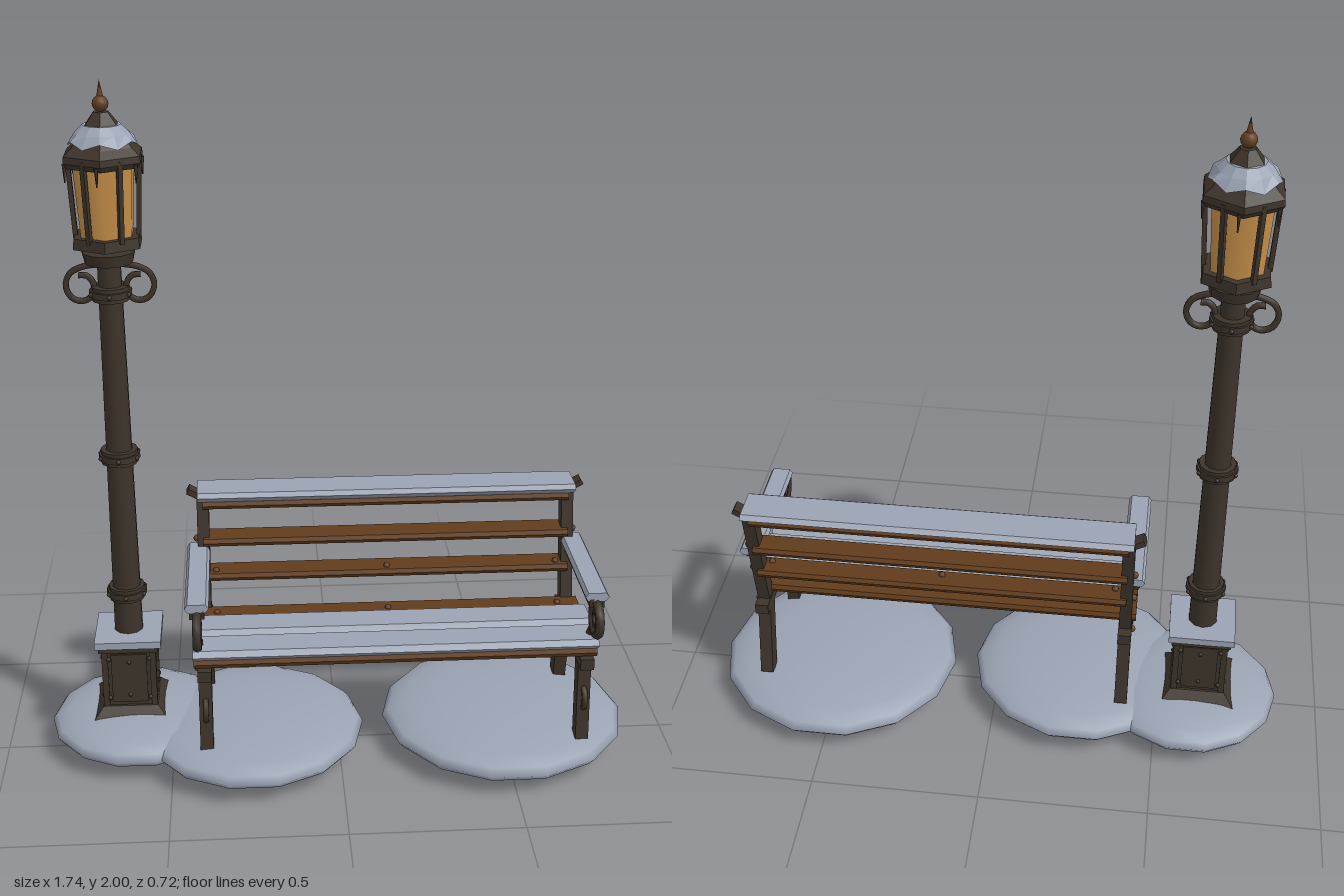
import * as THREE from 'three';

const mat = (name, color, extra = {}) => Object.assign(new THREE.MeshStandardMaterial({ color, ...extra }), { name });

export function createModel() {
  const iron = mat('dark iron', 0x3d342b);
  const wood = mat('bench wood', 0x613c1b);
  const snow = mat('snow', 0x9ba3b3);
  const glass = mat('amber glass', 0xc8914a);
  const copper = mat('aged copper', 0x633f22);
  const model = new THREE.Group();

  const add = (parent, name, geo, material, x = 0, y = 0, z = 0) => {
    const m = new THREE.Mesh(geo, material);
    m.name = name;
    m.position.set(x, y, z);
    parent.add(m);
    return m;
  };
  const group = (name, x = 0, y = 0, z = 0) => {
    const g = new THREE.Group();
    g.name = name;
    g.position.set(x, y, z);
    model.add(g);
    return g;
  };
  const box = (w, h, d) => new THREE.BoxGeometry(w, h, d);
  const cyl = (top, bottom, h, n = 12) => new THREE.CylinderGeometry(top, bottom, h, n);
  const flat = (geo) => {
    const g = geo.toNonIndexed();
    g.computeVertexNormals();
    return g;
  };
  // Box running between two points [y, z] in a side plane
  const beam = (parent, name, material, x, a, b, w, d) => {
    const dy = b[0] - a[0], dz = b[1] - a[1];
    const m = add(parent, name, box(w, Math.hypot(dy, dz), d), material, x, (a[0] + b[0]) / 2, (a[1] + b[1]) / 2);
    m.rotation.x = Math.atan2(dz, dy);
    return m;
  };
  // Bar with bevelled long edges, lying along x
  const bar = (len, h, d, bevel) => {
    const s = new THREE.Shape();
    const a = d / 2, b = h / 2;
    s.moveTo(-a + bevel, -b).lineTo(a - bevel, -b).lineTo(a, 0).lineTo(a - bevel, b).lineTo(-a + bevel, b).lineTo(-a, 0);
    return new THREE.ExtrudeGeometry(s, { depth: len, bevelEnabled: false }).translate(0, 0, -len / 2).rotateY(Math.PI / 2);
  };

  // Snow mounds
  for (const [x, z, r, ry] of [[-0.6, -0.042, 0.267, 0.062], [-0.26, 0.029, 0.333, 0.063], [0.503, -0.007, 0.367, 0.066]]) {
    const m = add(model, 'snowMound', new THREE.SphereGeometry(1, 14, 10), snow, x, ry === 0.066 ? 0.066 : 0.073, z);
    m.scale.set(r, ry, r);
  }

  // Lamp pedestal
  const lamp = group('streetLamp', -0.624, 0, -0.05);
  const foot = add(lamp, 'pedestalFoot', flat(cyl(0.115, 0.156, 0.035, 4)), iron, 0, 0.135, 0);
  foot.rotation.y = Math.PI / 4;
  add(lamp, 'pedestal', box(0.148, 0.23, 0.148), iron, 0, 0.24, 0);
  add(lamp, 'pedestalCap', box(0.175, 0.02, 0.175), iron, 0, 0.345, 0);
  add(lamp, 'pedestalSnow', box(0.195, 0.022, 0.195), snow, 0, 0.364, 0);
  for (let i = 0; i < 4; i++) {
    const face = new THREE.Group();
    face.name = 'pedestalFace';
    face.rotation.y = i * Math.PI / 2;
    lamp.add(face);
    add(face, 'pedestalPanel', box(0.105, 0.16, 0.008), iron, 0, 0.245, 0.076);
    add(face, 'cornerTrim', box(0.018, 0.2, 0.018), iron, 0.071, 0.24, 0.071);
    for (const [x, y] of [[-0.06, 0.18], [0.06, 0.18], [-0.06, 0.31], [0.06, 0.31], [0, 0.3], [0, 0.19]])
      add(face, 'rivet', new THREE.SphereGeometry(0.007, 6, 4), iron, x, y, 0.079);
  }

  // Post with collars
  add(lamp, 'post', cyl(0.033, 0.043, 1.16, 10), iron, 0, 0.95, 0);
  for (const y of [0.5, 0.935, 1.42]) {
    add(lamp, 'collar', cyl(0.053, 0.053, 0.04), iron, 0, y, 0);
    add(lamp, 'collarBand', cyl(0.059, 0.059, 0.018), iron, 0, y, 0);
    for (let i = 0; i < 6; i++) {
      const a = i * Math.PI / 3;
      add(lamp, 'collarRivet', new THREE.SphereGeometry(0.007, 6, 4), iron, Math.sin(a) * 0.059, y, Math.cos(a) * 0.059);
    }
  }
  add(lamp, 'topCollar', cyl(0.073, 0.066, 0.032, 12), iron, 0, 1.522, 0);
  for (const s of [-1, 1]) {
    const curve = new THREE.CatmullRomCurve3([[0.035, 1.5], [0.075, 1.493], [0.108, 1.475], [0.121, 1.44], [0.105, 1.405], [0.075, 1.396], [0.05, 1.412], [0.045, 1.445], [0.062, 1.468], [0.085, 1.47]]
      .map(([x, y]) => new THREE.Vector3(s * x, y, 0)));
    add(lamp, 'scrollBracket', new THREE.TubeGeometry(curve, 28, 0.009, 6), iron);
  }

  // Lantern
  add(lamp, 'lanternBase', flat(cyl(0.1, 0.104, 0.03, 6)), iron, 0, 1.57, 0);
  add(lamp, 'lanternGlass', cyl(0.092, 0.078, 0.21, 6), glass, 0, 1.685, 0);
  for (let i = 0; i < 6; i++) {
    const side = new THREE.Group();
    side.name = 'lanternSide';
    side.rotation.y = i * Math.PI / 3 + Math.PI / 6;
    lamp.add(side);
    beam(side, 'lanternBar', iron, 0, [1.575, 0.085], [1.8, 0.096], 0.013, 0.013);
    const drop = add(side, 'icicle', cyl(0.006, 0.002, 0.05, 5), iron, 0.045, 1.762, 0.1);
    drop.visible = true;
  }
  const roof = [[0.001, 1.775], [0.108, 1.775], [0.118, 1.79], [0.116, 1.808], [0.092, 1.828], [0.048, 1.882], [0.028, 1.905], [0.022, 1.915], [0.001, 1.917]];
  add(lamp, 'lanternRoof', flat(new THREE.LatheGeometry(roof.map(([r, y]) => new THREE.Vector2(r, y)), 6)), iron);

  // Roof snow with a scalloped lower edge
  const cap = new THREE.CylinderGeometry(0.052, 0.094, 0.05, 12, 2);
  const p = cap.attributes.position;
  for (let i = 0; i < p.count; i++) {
    const a = Math.atan2(p.getX(i), p.getZ(i));
    if (p.getY(i) < -0.02) p.setY(i, p.getY(i) + 0.008 * Math.cos(a * 6));
    if (p.getY(i) > 0.02) p.setY(i, 0.021);
  }
  add(lamp, 'roofSnow', flat(cap), snow, 0, 1.862, 0);
  add(lamp, 'roofPeak', flat(cyl(0.022, 0.054, 0.04, 6)), iron, 0, 1.896, 0);
  add(lamp, 'finialBall', new THREE.SphereGeometry(0.022, 10, 8), copper, 0, 1.937, 0);
  add(lamp, 'finialSpike', new THREE.ConeGeometry(0.011, 0.055, 8), copper, 0, 1.9725, 0);

  // Bench, centred along its length
  const bench = group('bench', 0.155);
  for (const z of [0.178, 0.06, -0.055]) add(bench, 'seatSlat', bar(1.16, 0.026, 0.1, 0.006), wood, 0, 0.396, z);
  for (const [z, y] of [[0.178, 0.423], [0.06, 0.427]]) add(bench, 'seatSnow', bar(1.165, 0.03, 0.116, 0.014), snow, 0, y, z);
  for (const [y, z] of [[0.508, -0.135], [0.612, -0.158], [0.728, -0.172]]) {
    const m = add(bench, 'backSlat', bar(1.1, 0.024, 0.08, 0.006), wood, 0, y, z);
    m.rotation.x = 0.05;
  }
  for (const x of [-0.515, 0, 0.515]) {
    add(bench, 'seatBolt', new THREE.SphereGeometry(0.01, 8, 6), copper, x, 0.41, -0.06);
    add(bench, 'backBolt', new THREE.SphereGeometry(0.01, 8, 6), copper, x, 0.521, -0.12);
  }

  // Snow along the back, flaring upwards
  const ridge = new THREE.Shape();
  ridge.moveTo(-0.035, 0.738).lineTo(0.035, 0.738).lineTo(0.065, 0.762).lineTo(0.05, 0.773).lineTo(-0.05, 0.773).lineTo(-0.065, 0.762);
  add(bench, 'backSnow', new THREE.ExtrudeGeometry(ridge, { depth: 1.13, bevelEnabled: false })
    .translate(0, 0, -0.565).rotateY(Math.PI / 2), snow, 0, 0, -0.173);

  // Cast iron ends, mirrored
  for (const s of [-1, 1]) {
    const end = new THREE.Group();
    end.name = 'benchEnd';
    bench.add(end);
    const x = s * 0.55, ax = s * 0.566;
    beam(end, 'frontLeg', iron, x, [0.105, 0.203], [0.38, 0.18], 0.038, 0.046);
    beam(end, 'rearLeg', iron, x, [0.115, -0.155], [0.38, -0.105], 0.038, 0.052);
    beam(end, 'backPost', iron, x, [0.37, -0.108], [0.75, -0.185], 0.036, 0.044);
    add(end, 'seatRail', box(0.04, 0.034, 0.405), iron, x, 0.363, 0.037);
    const tip = add(end, 'postTip', box(0.035, 0.018, 0.04), iron, s * 0.578, 0.755, -0.18);
    tip.rotation.z = s * 0.5;
    add(end, 'armrest', box(0.042, 0.026, 0.38), iron, ax, 0.563, 0.05);
    add(end, 'armSnow', bar(0.4, 0.025, 0.068, 0.008).rotateY(Math.PI / 2), snow, ax, 0.583, 0.04);

    // Scroll under the front of the arm and its strut
    const ring = add(end, 'armScroll', new THREE.TorusGeometry(0.046, 0.014, 6, 18), iron, ax, 0.515, 0.242);
    ring.rotation.y = Math.PI / 2;
    const hub = add(end, 'scrollInner', new THREE.TorusGeometry(0.022, 0.009, 6, 12), iron, ax, 0.515, 0.242);
    hub.rotation.y = Math.PI / 2;
    const strut = new THREE.CatmullRomCurve3([[0.475, 0.215], [0.45, 0.19], [0.415, 0.175], [0.37, 0.175]]
      .map(([y, z]) => new THREE.Vector3(ax, y, z)));
    add(end, 'armStrut', new THREE.TubeGeometry(strut, 10, 0.014, 6), iron);
    const curl = add(end, 'legCurl', new THREE.TorusGeometry(0.034, 0.009, 6, 14), iron, x, 0.238, 0.2);
    curl.rotation.y = Math.PI / 2;
    for (const [y, z] of [[0.363, 0.18], [0.363, -0.11], [0.508, -0.137], [0.612, -0.158]])
      add(end, 'endBolt', new THREE.SphereGeometry(0.011, 8, 6), copper, s * 0.57, y, z);
  }
  return model;
}
